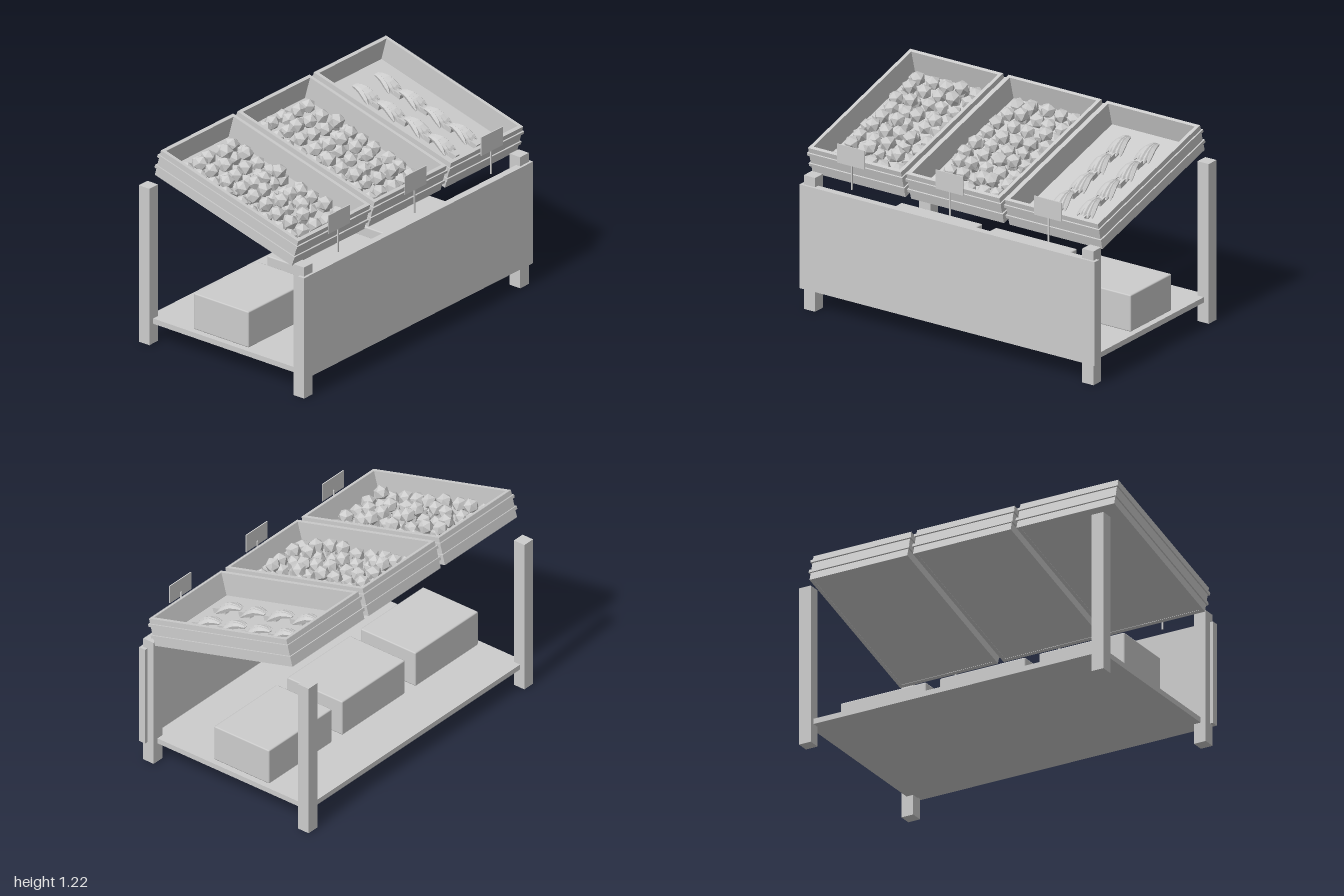
import * as THREE from 'three';
import { RoundedBoxGeometry } from 'three/addons/geometries/RoundedBoxGeometry.js';

const grey = new THREE.MeshStandardMaterial({ color: 0xcccccc });
grey.name = 'plain grey';

let seed = 7;
const rand = () => (seed = (seed * 16807) % 2147483647) / 2147483647;
const jitter = (a) => (rand() * 2 - 1) * a;

function add(parent, name, geometry, x = 0, y = 0, z = 0) {
  const mesh = new THREE.Mesh(geometry, grey);
  mesh.name = name;
  mesh.position.set(x, y, z);
  parent.add(mesh);
  return mesh;
}

// Box given by its extents
function block(parent, name, x0, x1, y0, y1, z0, z1) {
  return add(parent, name, new THREE.BoxGeometry(x1 - x0, y1 - y0, z1 - z0),
    (x0 + x1) / 2, (y0 + y1) / 2, (z0 + z1) / 2);
}

// Four boards forming a rectangular ring
function frame(parent, name, w, d, t, y0, y1) {
  for (const s of [-1, 1]) {
    const x = s * (w - t) / 2, z = s * (d - t) / 2;
    block(parent, name + 'Side', x - t / 2, x + t / 2, y0, y1, -d / 2, d / 2);
    block(parent, name + 'End', -w / 2 + t, w / 2 - t, y0, y1, z - t / 2, z + t / 2);
  }
}

// Tapered, faceted tube along a curve
function finger(points, radius) {
  const n = 5, sides = 5;
  const curve = new THREE.CatmullRomCurve3(points.map((p) => new THREE.Vector3(...p)));
  const geo = new THREE.TubeGeometry(curve, n, radius, sides, false);
  const pos = geo.attributes.position, v = new THREE.Vector3();
  const taper = [0.45, 0.8, 1, 1, 0.8, 0.2];
  for (let i = 0; i < pos.count; i++) {
    const ring = Math.floor(i / (sides + 1));
    const c = curve.getPointAt(ring / n);
    v.fromBufferAttribute(pos, i).sub(c).multiplyScalar(taper[ring]).add(c);
    pos.setXYZ(i, v.x, v.y, v.z);
  }
  const flat = geo.toNonIndexed();
  flat.computeVertexNormals();
  return flat;
}

// Round fruit, one corner pointing up
const fruitGeometry = new THREE.IcosahedronGeometry(0.046, 0);
fruitGeometry.rotateZ(-Math.atan(2 / (1 + Math.sqrt(5))));

function addFruit(tray, x, y, z) {
  const fruit = add(tray, 'fruit', fruitGeometry, x, y, z);
  fruit.rotation.set(jitter(0.2), rand() * 6.28, jitter(0.2));
}

function fillWithFruit(tray) {
  for (let r = 0; r < 9; r++) {
    for (let c = 0; c < 5; c++) {
      const x = (c - 2) * 0.098, z = -0.395 + r * 0.0975;
      addFruit(tray, x + jitter(0.012), 0.073, z + jitter(0.012));
      // Loose second layer resting in the gaps
      if (c < 4 && r < 8 && rand() < 0.65) {
        addFruit(tray, x + 0.049 + jitter(0.025), 0.122, z + 0.049 + jitter(0.02));
      }
    }
  }
}

// Bunch of curved fingers fanning out from a crown
const fingerGeometries = [-2, -1, 0, 1, 2].map((i) => finger([
  [i * 0.006, 0.045, -0.085],
  [i * 0.011, 0.062 - Math.abs(i) * 0.004, -0.03],
  [i * 0.019, 0.05 - Math.abs(i) * 0.007, 0.035],
  [i * 0.025, 0.022, 0.085 - Math.abs(i) * 0.008],
], 0.017));

function addBunch(tray, x, z) {
  const bunch = new THREE.Group();
  bunch.name = 'bunch';
  bunch.position.set(x, 0.03, z);
  bunch.rotation.y = jitter(0.1);
  for (const g of fingerGeometries) add(bunch, 'finger', g);
  block(bunch, 'stem', -0.016, 0.016, 0.005, 0.035, 0.03, 0.118);
  tray.add(bunch);
}

export function createModel() {
  seed = 7;
  const model = new THREE.Group();
  model.name = 'marketStall';

  // Table frame
  for (const s of [-1, 1]) {
    const x = s * 0.943;
    block(model, 'frontLeg', x - 0.038, x + 0.038, 0, 0.8, 0.51, 0.585);
    block(model, 'backLeg', x - 0.038, x + 0.038, 0, 0.955, -0.6, -0.525);
  }
  block(model, 'frontPanel', -1, 1, 0.125, 0.745, 0.556, 0.6);
  block(model, 'shelf', -0.948, 0.948, 0.12, 0.152, -0.57, 0.557);

  // Storage boxes on the shelf
  for (const x of [-0.64, 0, 0.64]) {
    add(model, 'storageBox', new RoundedBoxGeometry(0.55, 0.22, 0.395, 1, 0.008), x, 0.262, -0.065);
  }

  // Tilted trays with raised slats, and their price signs
  [-0.667, 0, 0.667].forEach((x, i) => {
    const tray = new THREE.Group();
    tray.name = 'tray';
    tray.position.set(x, 0.92, 0.0075);
    tray.rotation.x = THREE.MathUtils.degToRad(15.2);
    model.add(tray);
    frame(tray, 'wall', 0.63, 1.02, 0.022, 0, 0.168);
    block(tray, 'floor', -0.294, 0.294, 0.002, 0.028, -0.489, 0.489);
    frame(tray, 'lowerSlat', 0.647, 1.037, 0.01, 0.048, 0.067);
    frame(tray, 'upperSlat', 0.647, 1.037, 0.01, 0.119, 0.137);

    if (i < 2) {
      fillWithFruit(tray);
    } else {
      for (let r = 0; r < 4; r++) {
        for (const s of [-1, 1]) addBunch(tray, s * 0.092 + jitter(0.007), -0.285 + r * 0.188);
      }
    }

    block(model, 'signPost', x - 0.004, x + 0.004, 0.78, 0.955, 0.566, 0.574);
    block(model, 'signPlate', x - 0.093, x + 0.093, 0.925, 1.037, 0.574, 0.58);
  });

  return model;
}
